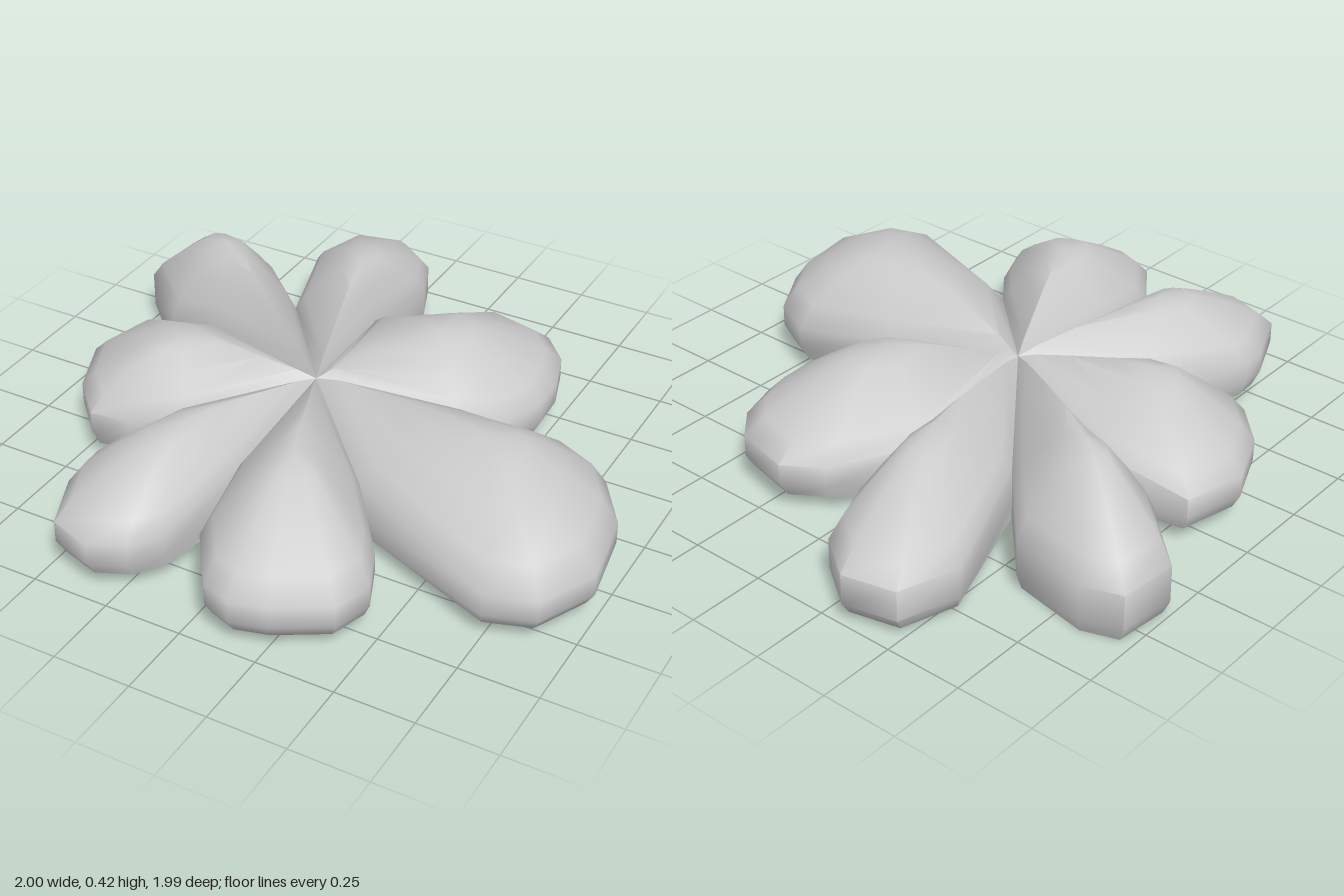
import * as THREE from 'three';
import { toCreasedNormals } from 'three/addons/utils/BufferGeometryUtils.js';

const CENTER = [-0.09, 0.06];
const CENTER_Y = 0.29, CAVITY_Y = 0.275;
const NOTCH_Y = 0.225, EDGE_Y = 0.17, BASE_Y = 0.05;

// Points [x, z] where neighbouring lobes meet; lobe i lies between notch i and i + 1
const NOTCHES = [
  [0.34, -0.05], [0.25, 0.4], [-0.105, 0.49], [-0.4, 0.34],
  [-0.54, -0.13], [-0.41, -0.36], [-0.14, -0.42],
];

// Rounded tip outline, crown height and its share of the reach, underside height,
// fullness of the slope (lower is fuller) and outward bow of the hollow's rim
const LOBES = [
  { name: 'rightLobe', top: 0.39, reach: 0.7, base: 0.05, slope: 0.8, bow: 0.4,
    tip: [[0.7, -0.1], [0.85, -0.03], [0.96, 0.14], [1, 0.39], [0.91, 0.575], [0.76, 0.625]] },
  { name: 'frontRightLobe', top: 0.4, reach: 0.62, base: 0.05, slope: 1, bow: -0.7,
    tip: [[0.41, 0.6], [0.47, 0.74], [0.43, 0.865], [0.27, 0.96], [0.16, 0.99], [0.06, 0.955], [-0.07, 0.77]] },
  { name: 'frontLeftLobe', top: 0.36, reach: 0.62, base: 0.05, slope: 0.9, bow: 0.2,
    tip: [[-0.155, 0.83], [-0.22, 0.92], [-0.33, 0.97], [-0.47, 0.925], [-0.55, 0.74], [-0.555, 0.65]] },
  { name: 'leftLobe', top: 0.375, reach: 0.62, base: 0.05, slope: 1, bow: 0.2,
    tip: [[-0.57, 0.395], [-0.7, 0.415], [-0.82, 0.29], [-0.9, 0.1], [-0.85, -0.1]] },
  { name: 'backLeftLobe', top: 0.42, reach: 0.75, base: 0, slope: 1, bow: 0,
    tip: [[-0.79, -0.19], [-1, -0.39], [-0.98, -0.58], [-0.86, -0.62], [-0.6, -0.57]] },
  { name: 'backLobe', top: 0.385, reach: 0.6, base: 0.02, slope: 1, bow: 0,
    tip: [[-0.56, -0.77], [-0.5, -0.96], [-0.33, -1], [-0.19, -0.9], [-0.13, -0.75]] },
  { name: 'backRightLobe', top: 0.375, reach: 0.57, base: 0.05, slope: 1, bow: 0.2,
    tip: [[0.06, -0.65], [0.18, -0.725], [0.37, -0.68], [0.46, -0.58], [0.505, -0.44], [0.51, -0.31], [0.46, -0.18]] },
];

// Crown rings: share of the way from crown to edge, share of the rise kept
const RINGS = [[0, 1], [0.28, 0.91], [0.58, 0.59], [0.86, 0.26], [1, 0]];

const at = ([x, z], y) => new THREE.Vector3(x, y, z);

function lobeGeometry({ tip, top, reach, base, slope, bow }, start, end) {
  const positions = [];
  const tri = (a, b, c) => {
    if (a.distanceTo(b) < 1e-5 || b.distanceTo(c) < 1e-5 || c.distanceTo(a) < 1e-5) return;
    for (const p of [a, b, c]) positions.push(p.x, p.y, p.z);
  };
  const strip = (inner, outer) => {
    for (let i = 0; i < inner.length - 1; i++) {
      tri(inner[i], inner[i + 1], outer[i + 1]);
      tri(inner[i], outer[i + 1], outer[i]);
    }
  };

  const mean = tip.reduce((m, p) => [m[0] + p[0] / tip.length, m[1] + p[1] / tip.length], [0, 0]);
  const crown = at(CENTER, top).lerp(at(mean, top), reach);

  // Sloping top, reaching in to the common centre
  const hub = at(CENTER, CENTER_Y);
  const edge = [at(start, NOTCH_Y), ...tip.map((p) => at(p, EDGE_Y)), at(end, NOTCH_Y)];
  const loop = [hub, ...edge, hub];
  const rings = RINGS.map(([s, rise]) => loop.map((p) => {
    const q = crown.clone().lerp(p, s);
    q.y = p.y + (top - p.y) * rise ** slope;
    return q;
  }));
  for (let r = 0; r < rings.length - 1; r++) strip(rings[r], rings[r + 1]);

  // Upright wall and bevel down to the flat underside
  const last = edge.length - 1;
  const isNotch = (i) => i === 0 || i === last;
  const wall = edge.map((p, i) => at([p.x, p.z], isNotch(i) ? 0.1 : base + 0.05));
  const floor = edge.map((p, i) => {
    const q = p.clone();
    if (!isNotch(i)) q.lerp(crown, 0.07);
    q.y = isNotch(i) ? BASE_Y : base;
    return q;
  });
  strip(edge, wall);
  strip(wall, floor);

  // Underside up to a curved rim, then the steep-sided central hollow
  const rim = floor.map((p, i) => {
    const t = i / last, arc = t * (1 - t);
    const chord = floor[0].clone().lerp(floor[last], t);
    const q = at(CENTER, 0).lerp(chord, 1 + bow * arc);
    q.y = BASE_Y + (base - BASE_Y) * 2 * arc;
    return q;
  });
  const shoulder = rim.map((p) => {
    const q = p.clone().lerp(at(CENTER, 0), 0.2);
    q.y = 0.2;
    return q;
  });
  strip(floor, rim);
  strip(rim, shoulder);
  strip(shoulder, shoulder.map(() => at(CENTER, CAVITY_Y)));

  const geometry = new THREE.BufferGeometry();
  geometry.setAttribute('position', new THREE.Float32BufferAttribute(positions, 3));
  return toCreasedNormals(geometry, 1.05);
}

export function createModel() {
  const group = new THREE.Group();
  group.name = 'lobedRosette';
  const material = new THREE.MeshStandardMaterial({ color: 0xcccccc, side: THREE.DoubleSide });
  LOBES.forEach((lobe, i) => {
    const mesh = new THREE.Mesh(
      lobeGeometry(lobe, NOTCHES[i], NOTCHES[(i + 1) % NOTCHES.length]), material);
    mesh.name = lobe.name;
    group.add(mesh);
  });
  return group;
}
